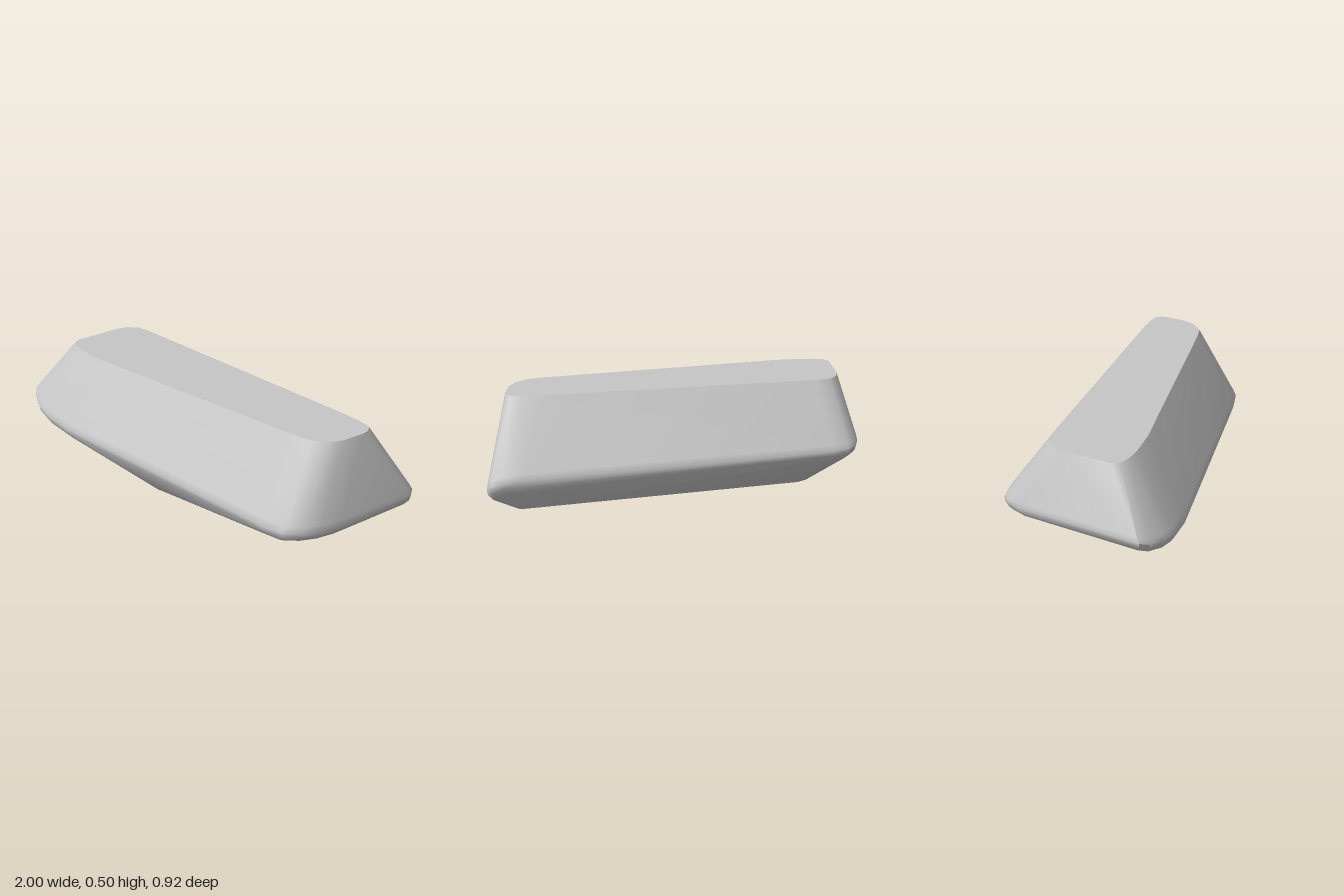
import * as THREE from 'three';
import { ConvexGeometry } from 'three/addons/geometries/ConvexGeometry.js';
import { mergeVertices, toCreasedNormals } from 'three/addons/utils/BufferGeometryUtils.js';

// Flat top outline: x, z at y = 0.5
const TOP = [
  [-0.82, 0.05], [-0.81, 0.09], [-0.76, 0.12], [-0.7, 0.14], [-0.55, 0.165],
  [0.6, 0.245], [0.7, 0.245], [0.77, 0.21], [0.81, 0.16], [0.85, 0.06],
  [0.855, 0.02], [0.84, -0.01], [0.79, -0.03], [0.7, -0.05],
  [-0.6, -0.25], [-0.67, -0.25], [-0.72, -0.22], [-0.75, -0.17],
];

// Widest outline, point for point below the top one: x, y, z
const RIM = [
  [-1, 0.235, 0.2], [-0.97, 0.215, 0.24], [-0.9, 0.195, 0.29], [-0.82, 0.18, 0.32], [-0.66, 0.165, 0.35],
  [0.6, 0.13, 0.455], [0.7, 0.13, 0.455], [0.77, 0.13, 0.41], [0.82, 0.125, 0.34], [0.86, 0.12, 0.25],
  [1, 0.115, -0.17], [0.99, 0.135, -0.2], [0.94, 0.155, -0.22], [0.86, 0.165, -0.235],
  [-0.6, 0.205, -0.46], [-0.68, 0.205, -0.46], [-0.73, 0.21, -0.43], [-0.77, 0.21, -0.37],
];

// Flat underside: x, z at y = 0
const BASE = [
  [0.85, -0.16], [0.83, -0.08], [0.61, 0.1], [0.4, 0.2], [0.2, 0.27], [-0.1, 0.325], [-0.2, 0.29],
  [-0.52, -0.2], [-0.56, -0.24], [-0.55, -0.27], [-0.5, -0.285],
];

export function createModel() {
  const stone = new THREE.MeshStandardMaterial({ color: 0xc6c6c6 });
  stone.name = 'stone grey';

  const points = [];
  const add = (x, y, z) => points.push(new THREE.Vector3(x, y, z));
  TOP.forEach(([x, z]) => add(x, 0.5, z));
  RIM.forEach(([x, y, z], i) => {
    // Worn edge: one ring just above the rim, the rim, and two rings below
    const [topX, topZ] = TOP[i];
    add(THREE.MathUtils.lerp(x, topX, 0.08) * 1.003, y + (0.5 - y) * 0.08, THREE.MathUtils.lerp(z, topZ, 0.08) * 1.006);
    add(x, y, z);
    add(x * 0.994, y - 0.025, z * 0.99);
    add(x * 0.97, y - 0.052, z * 0.95);
  });
  BASE.forEach(([x, z]) => add(x, 0, z));

  // Weld the hull so worn edges shade smoothly while the flat cuts stay crisp
  let geometry = new ConvexGeometry(points);
  geometry.deleteAttribute('normal');
  geometry = toCreasedNormals(mergeVertices(geometry, 1e-4), 0.8);

  const slab = new THREE.Mesh(geometry, stone);
  slab.name = 'stoneSlab';
  const group = new THREE.Group();
  group.name = 'rock';
  group.add(slab);
  return group;
}
